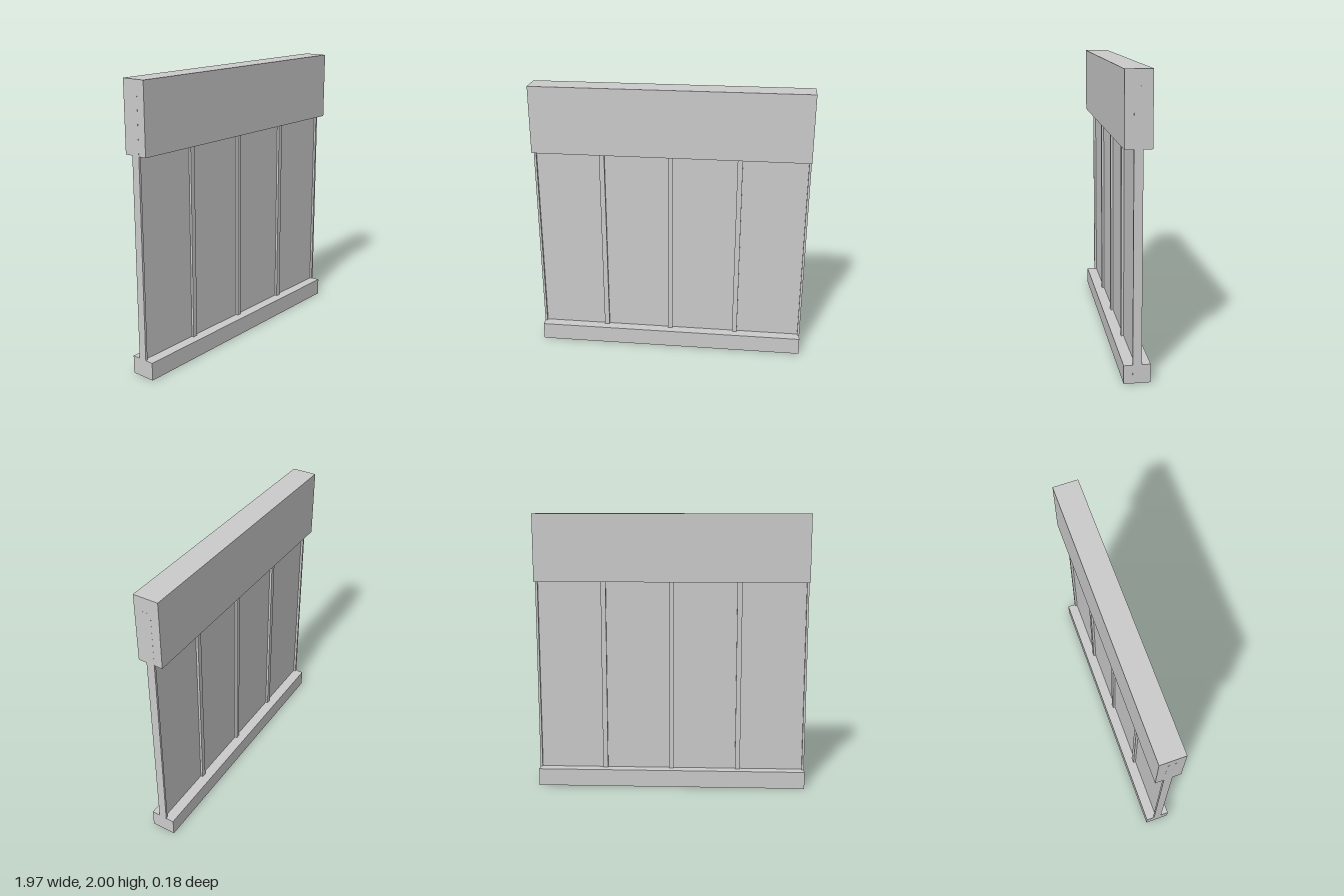
import * as THREE from 'three';

const WIDTH = 1.966;

export function createModel() {
  const model = new THREE.Group();
  model.name = 'panelWall';
  const material = new THREE.MeshStandardMaterial({ color: 0xcccccc, flatShading: true });

  // Box given by its size, its centre in x and its bottom height
  const addBox = (name, w, h, d, x, bottom) => {
    const mesh = new THREE.Mesh(new THREE.BoxGeometry(w, h, d), material);
    mesh.name = name;
    mesh.position.set(x, bottom + h / 2, 0);
    model.add(mesh);
  };

  // Thick rails along the top and the bottom
  addBox('header', WIDTH, 0.48, 0.176, 0, 1.52);
  addBox('baseRail', WIDTH, 0.126, 0.176, 0, 0);

  // Thin sheet between the posts
  addBox('panel', WIDTH - 0.02, 1.8, 0.024, 0, 0.08);

  // Upright posts, running into both rails
  addBox('centrePost', 0.032, 1.84, 0.058, 0, 0.06);
  for (const side of [-1, 1]) {
    addBox('middlePost', 0.036, 1.84, 0.058, side * 0.492, 0.06);
    addBox('endPost', 0.016, 1.84, 0.058, side * (WIDTH / 2 - 0.0075), 0.06);
  }
  return model;
}
